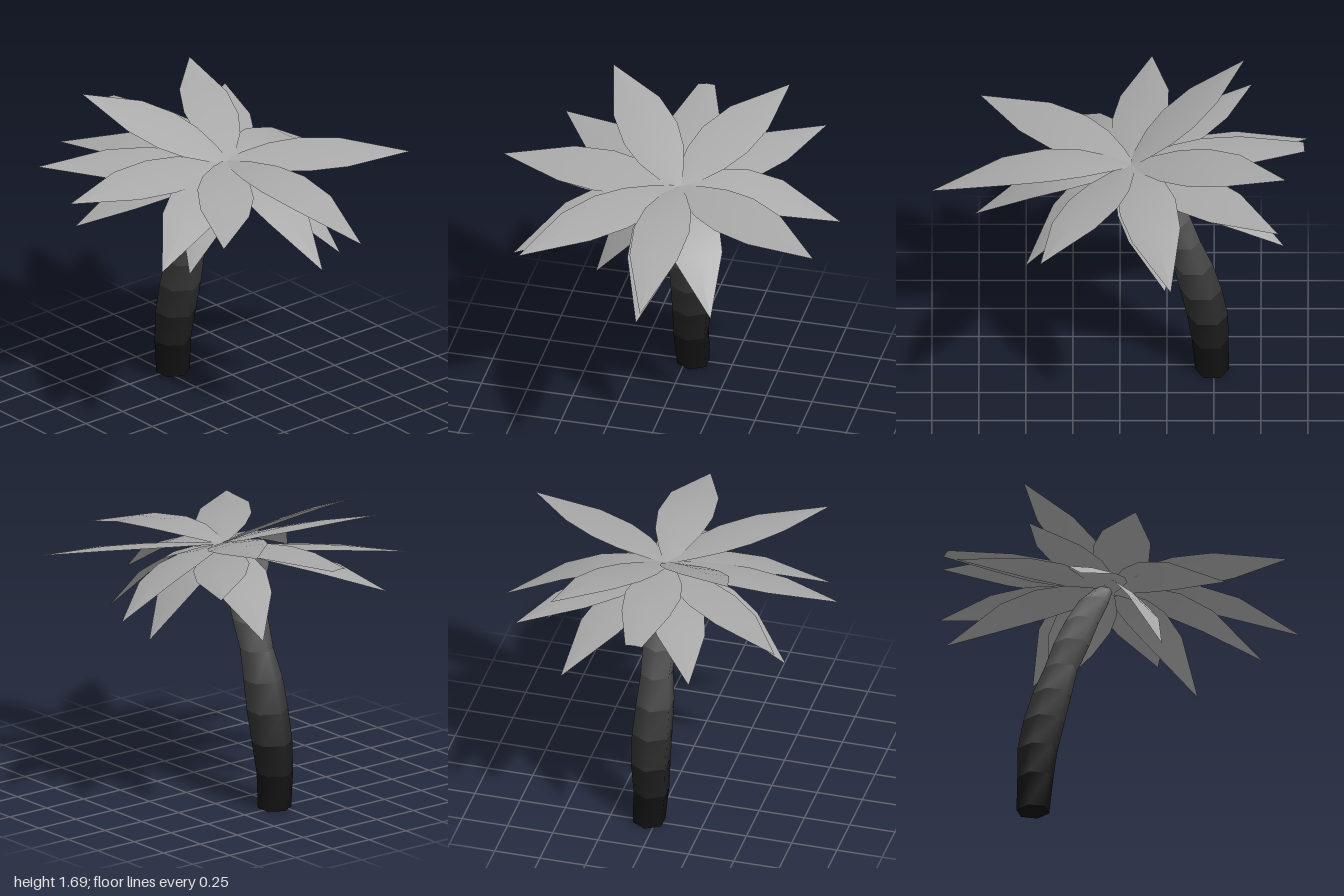
import * as THREE from 'three';
import { mergeVertices } from 'three/addons/utils/BufferGeometryUtils.js';

// Trunk rings: x, y, z, radius
const RINGS = [
  [-0.49, 0, -0.04, 0.09], [-0.48, 0.19, -0.03, 0.098], [-0.466, 0.36, -0.038, 0.109],
  [-0.43, 0.53, -0.04, 0.112], [-0.388, 0.69, -0.036, 0.106], [-0.337, 0.85, -0.04, 0.09],
  [-0.28, 1.0, -0.038, 0.096], [-0.222, 1.14, -0.04, 0.09], [-0.155, 1.27, -0.045, 0.08],
  [-0.1, 1.35, -0.05, 0.05],
];
const SIDES = 6;

// Frond tips: x, y, z, lift of the middle, tip half width
const UPPER_TIPS = [
  [-0.66, 1.69, 0.44, 0.03], [-0.88, 1.57, -0.47, 0.04], [-0.17, 1.36, 0.92, 0.03],
  [0.74, 1.33, 0.61, 0.04], [1.0, 1.24, -0.12, 0.085], [0.42, 1.35, -0.92, 0.03],
  [-0.27, 1.15, -0.9, 0.09], [-0.98, 1.44, 0.01, 0.03, 0.045],
];
const LOWER_TIPS = [
  [-0.84, 1.37, -0.68, 0.03], [-0.87, 1.1, -0.42, 0.08], [-1.0, 1.26, 0.32, 0.06],
  [-0.7, 1.33, 0.71, 0.03], [-0.41, 1.08, 0.69, 0.08], [0.37, 1.1, 0.73, 0.09],
  [0.12, 0.89, 0.34, 0.13], [0.77, 1.03, -0.04, 0.11], [0.5, 0.94, -0.38, 0.12],
  [-0.24, 1.0, -0.69, 0.1],
];
const CROWN = new THREE.Vector3(-0.06, 1.37, -0.06);
// Frond outline: position along the frond, half width
const OUTLINE = [[0, 0.02], [0.1, 0.07], [0.25, 0.125], [0.42, 0.15], [0.64, 0.13], [1, 0.002]];

// Skin between equal rows of points
function loft(rows) {
  const n = rows[0].length, index = [];
  for (let i = 0; i < rows.length - 1; i++) {
    for (let j = 0; j < n - 1; j++) {
      const a = i * n + j, b = a + n;
      index.push(a, b, a + 1, b, b + 1, a + 1);
    }
  }
  const g = new THREE.BufferGeometry().setFromPoints(rows.flat());
  g.setIndex(index);
  const merged = mergeVertices(g);
  merged.computeVertexNormals();
  return merged;
}

// Closed ring of points, anticlockwise seen from above
function trunkRow([x, y, z, r]) {
  return Array.from({ length: SIDES + 1 }, (_, i) => {
    const a = (i % SIDES) * 2 * Math.PI / SIDES;
    return new THREE.Vector3(x + r * Math.cos(a), y, z - r * Math.sin(a));
  });
}

function makeTrunk() {
  const trunk = new THREE.Group();
  trunk.name = 'trunk';
  const bands = RINGS.length - 1;
  const dark = new THREE.Color(0x111111), light = new THREE.Color(0x747474);
  for (let i = 0; i < bands; i++) {
    const color = dark.clone().lerp(light, (i / (bands - 1)) ** 1.6);
    // rows run top to bottom so that faces point outwards
    const geometry = loft([trunkRow(RINGS[i + 1]), trunkRow(RINGS[i])]);
    const band = new THREE.Mesh(geometry, new THREE.MeshStandardMaterial({ color }));
    band.name = 'trunkBand';
    trunk.add(band);
  }
  // underside
  const [x, y, z, r] = RINGS[0];
  const base = new THREE.Mesh(new THREE.CircleGeometry(r, SIDES).rotateX(Math.PI / 2),
    new THREE.MeshStandardMaterial({ color: dark }));
  base.position.set(x, y, z);
  base.name = 'trunkBase';
  trunk.add(base);
  return trunk;
}

function makeFrond([x, y, z, lift, tipWidth = 0], drop, material) {
  const start = CROWN.clone();
  start.y -= drop;
  const tip = new THREE.Vector3(x, y, z);
  const middle = start.clone().lerp(tip, 0.5);
  middle.y += lift * 2;
  const spine = new THREE.QuadraticBezierCurve3(start, middle, tip);
  // fronds roll towards +x with the lean of the trunk, raised ones most
  const roll = 0.24 + 0.7 * Math.max(0, y - 1.4);
  // direction across the frond, of unit length seen from above
  const across = new THREE.Vector3(roll, 1, 0).cross(tip.clone().sub(start));
  across.divideScalar(Math.hypot(across.x, across.z));
  const rows = OUTLINE.map(([t, w]) => {
    const p = spine.getPoint(t), half = Math.max(w, t * tipWidth);
    return [-1, 0, 1].map(s => {
      const q = p.clone().addScaledVector(across, s * half);
      q.y -= Math.abs(s) * half * 0.1; // slight fold along the rib
      return q;
    });
  });
  const frond = new THREE.Mesh(loft(rows), material);
  frond.name = 'frond';
  return frond;
}

export function createModel() {
  const model = new THREE.Group();
  model.name = 'palmTree';
  model.add(makeTrunk());

  const crown = new THREE.Group();
  crown.name = 'crown';
  const leafMaterial = new THREE.MeshStandardMaterial({ color: 0xa9a9a9, side: THREE.DoubleSide });
  UPPER_TIPS.forEach(tip => crown.add(makeFrond(tip, 0, leafMaterial)));
  LOWER_TIPS.forEach(tip => crown.add(makeFrond(tip, 0.025, leafMaterial)));
  model.add(crown);
  return model;
}
